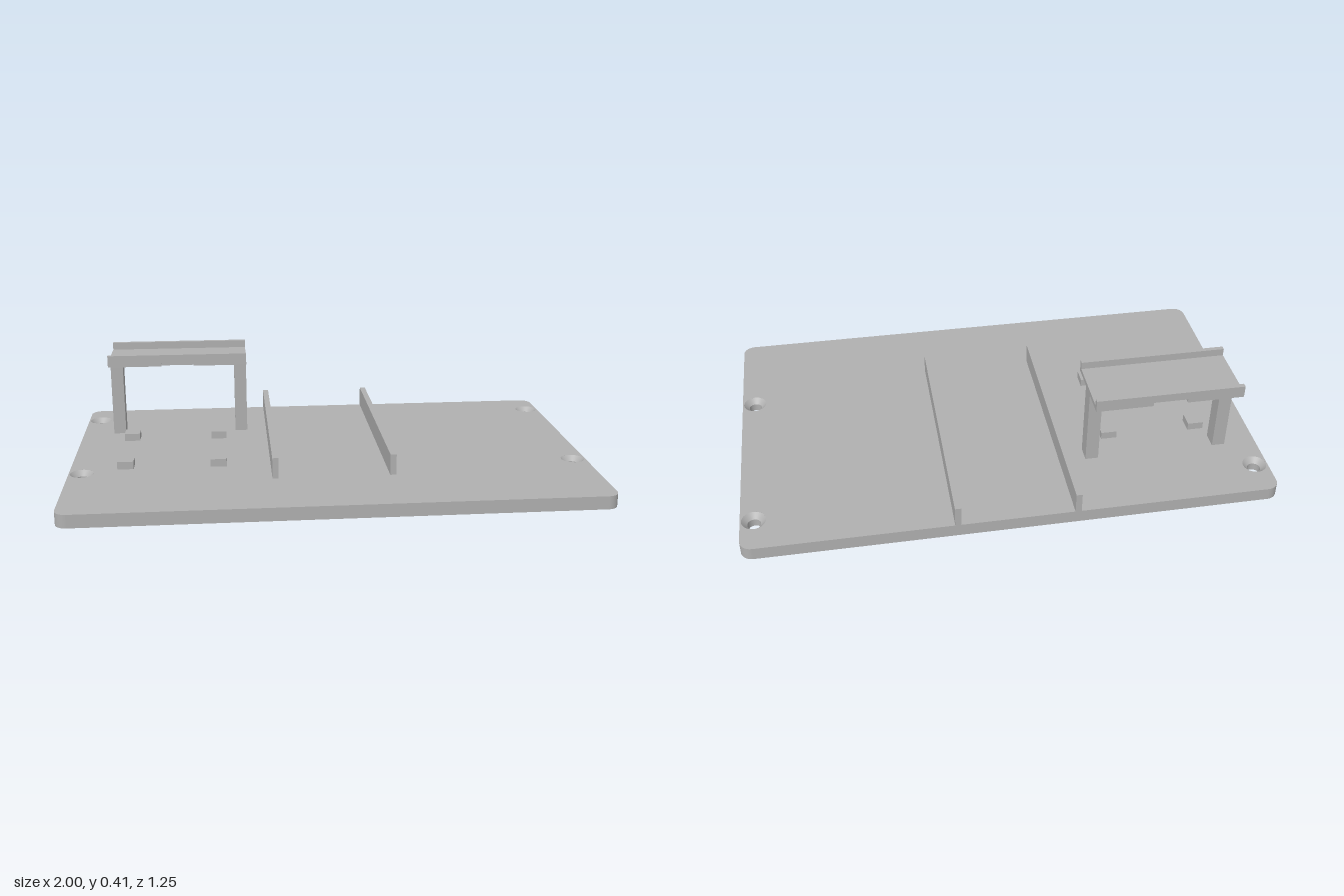
import * as THREE from 'three';

const grey = new THREE.MeshStandardMaterial({ color: 0xb0b0b0 });
grey.name = 'plain grey';

const screws = [[-0.95, -0.48], [0.95, -0.48], [-0.95, 0.21], [0.95, 0.21]];
const feet = [[-0.755, -0.3], [0.755, -0.3], [-0.755, 0.3], [0.755, 0.3]];

function add(parent, name, geometry) {
  const mesh = new THREE.Mesh(geometry, grey);
  mesh.name = name;
  parent.add(mesh);
  return mesh;
}

// Box given by its extents
function box(parent, name, x0, x1, y0, y1, z0, z1) {
  add(parent, name, new THREE.BoxGeometry(x1 - x0, y1 - y0, z1 - z0))
    .position.set((x0 + x1) / 2, (y0 + y1) / 2, (z0 + z1) / 2);
}

function roundedRect(w, d, r) {
  const s = new THREE.Shape();
  s.absarc(w - r, d - r, r, 0, Math.PI / 2);
  s.absarc(-w + r, d - r, r, Math.PI / 2, Math.PI);
  s.absarc(-w + r, -d + r, r, Math.PI, Math.PI * 1.5);
  s.absarc(w - r, -d + r, r, Math.PI * 1.5, Math.PI * 2);
  s.closePath();
  return s;
}

function roundHoles(shape, centres, r) {
  for (const [x, z] of centres) {
    shape.holes.push(new THREE.Path().absarc(x, -z, r, 0, Math.PI * 2, true));
  }
}

// One horizontal layer of the plate, with its own set of openings
function plateLayer(parent, name, y0, y1, screwRadius, hasFeet, hasPanel) {
  const s = roundedRect(1, 0.625, 0.045);
  roundHoles(s, screws, screwRadius);
  if (hasFeet) roundHoles(s, feet, 0.075);
  if (hasPanel) {
    s.holes.push(new THREE.Path([
      [-0.555, -0.39], [-0.555, 0.39], [0.555, 0.39], [0.555, -0.39],
    ].map(([x, y]) => new THREE.Vector2(x, y))));
  }
  const g = new THREE.ExtrudeGeometry(s, { depth: y1 - y0, bevelEnabled: false, curveSegments: 20 });
  g.rotateX(-Math.PI / 2);
  g.translate(0, y0, 0);
  add(parent, name, g);
}

// Length of tray with a channel section, extruded along x; points are [z, y]
function trayPiece(parent, name, x0, x1, profile) {
  const s = new THREE.Shape(profile.map(([z, y]) => new THREE.Vector2(-z, y)));
  const g = new THREE.ExtrudeGeometry(s, { depth: x1 - x0, bevelEnabled: false });
  g.rotateY(Math.PI / 2);
  g.translate(x0, 0, 0);
  add(parent, name, g);
}

export function createModel() {
  const model = new THREE.Group();
  model.name = 'mountingPlate';

  // Base plate: shallow panel recess and foot pockets underneath
  const base = new THREE.Group();
  base.name = 'basePlate';
  model.add(base);
  plateLayer(base, 'plateBottom', 0, 0.012, 0.025, true, true);
  plateLayer(base, 'plateMiddle', 0.012, 0.03, 0.025, true, false);
  plateLayer(base, 'plateTop', 0.03, 0.05, 0.045, false, false);

  // Countersunk screw holes, faces turned inward
  for (const [x, z] of screws) {
    const sink = new THREE.LatheGeometry(
      [new THREE.Vector2(0.045, 0.05), new THREE.Vector2(0.025, 0.03)], 32);
    add(base, 'countersink', sink).position.set(x, 0, z);
  }

  // Two long divider walls
  box(model, 'dividerRight', -0.235, -0.212, 0.05, 0.13, -0.625, 0.33);
  box(model, 'dividerLeft', 0.209, 0.232, 0.05, 0.13, -0.625, 0.33);

  // Four standoff blocks
  for (const x of [-0.79, -0.435]) {
    for (const z of [-0.207, 0.145]) {
      box(model, 'standoff', x - 0.031, x + 0.031, 0.05, 0.08, z - 0.031, z + 0.031);
    }
  }

  // Raised tray on two posts
  const stand = new THREE.Group();
  stand.name = 'trayStand';
  model.add(stand);
  for (const x of [-0.875, -0.365]) {
    box(stand, 'post', x, x + 0.05, 0.05, 0.361, -0.346, -0.285);
  }
  const rim = [[-0.187, 0.408], [-0.204, 0.408], [-0.204, 0.379],
    [-0.428, 0.379], [-0.428, 0.408], [-0.446, 0.408]];
  const full = [...rim, [-0.446, 0.361], [-0.187, 0.361]];
  const notched = [...rim, [-0.446, 0.376], [-0.428, 0.376], [-0.428, 0.361],
    [-0.204, 0.361], [-0.204, 0.376], [-0.187, 0.376]];
  trayPiece(stand, 'trayRight', -0.875, -0.66, full);
  trayPiece(stand, 'trayNotchedMiddle', -0.66, -0.53, notched);
  trayPiece(stand, 'trayLeft', -0.53, -0.315, full);

  return model;
}
